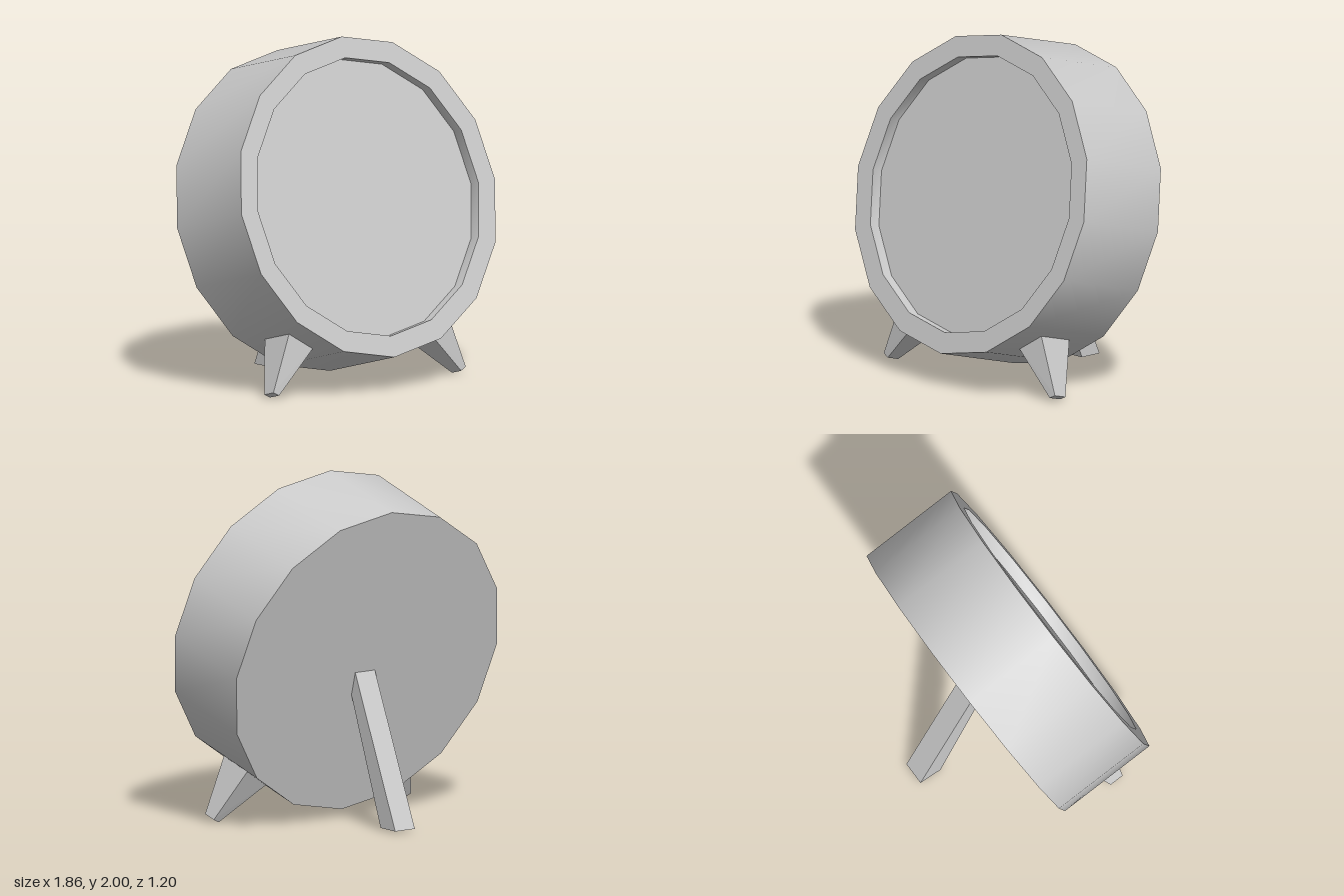
import * as THREE from 'three';
import { toCreasedNormals } from 'three/addons/utils/BufferGeometryUtils.js';
import { ConvexGeometry } from 'three/addons/geometries/ConvexGeometry.js';

const TILT = THREE.MathUtils.degToRad(15);
const material = new THREE.MeshStandardMaterial({ color: 0xcccccc });

function addMesh(parent, name, geometry) {
  const mesh = new THREE.Mesh(geometry, material);
  mesh.name = name;
  parent.add(mesh);
  return mesh;
}

export function createModel() {
  const model = new THREE.Group();
  model.name = 'tiltedDrumOnLegs';

  // Everything that leans back with the drum: local z is the drum's axis
  const body = new THREE.Group();
  body.name = 'tiltedBody';
  body.position.set(0, 1.025, 0.06);
  body.rotation.x = -TILT;
  model.add(body);

  // 16-sided drum with a rim around a shallow recessed front
  const R = 0.93, inner = 0.807, half = 0.305, recess = 0.07;
  const profile = [
    [0, -half], [R, -half], [R, half],
    [inner, half], [inner, half - recess], [0, half - recess],
  ].map(([r, y]) => new THREE.Vector2(r, y));
  const drum = new THREE.LatheGeometry(profile, 16);
  drum.rotateX(Math.PI / 2);
  addMesh(body, 'drum', toCreasedNormals(drum, 0.7));

  // Tapered front feet, splayed outwards; the root is pushed into the drum
  const edges = [
    { root: [0.58, -0.709], tip: [0.705, -1.027] },
    { root: [0.43, -0.812], tip: [0.667, -1.047] },
  ];
  const rootDepth = 0.115, tipDepth = 0.043, embed = -0.15;
  const mix = THREE.MathUtils.lerp;
  for (const side of [1, -1]) {
    const points = [];
    for (const { root, tip } of edges)
      for (const t of [embed, 1])
        for (const s of [1, -1])
          points.push(new THREE.Vector3(
            side * mix(root[0], tip[0], t),
            mix(root[1], tip[1], t),
            s * mix(rootDepth, tipDepth, t)));
    addMesh(body, side > 0 ? 'leftFoot' : 'rightFoot', new ConvexGeometry(points));
  }

  // Rear prop, slightly thicker at its flat base: [z, y] outline
  const outline = [[-0.6, 0.015], [-0.46, 0.015], [-0.165, 0.79], [-0.2, 0.923]];
  const propPoints = outline.flatMap(([z, y]) =>
    [-0.07, 0.07].map((x) => new THREE.Vector3(x, y, z)));
  addMesh(model, 'rearProp', new ConvexGeometry(propPoints));

  return model;
}
